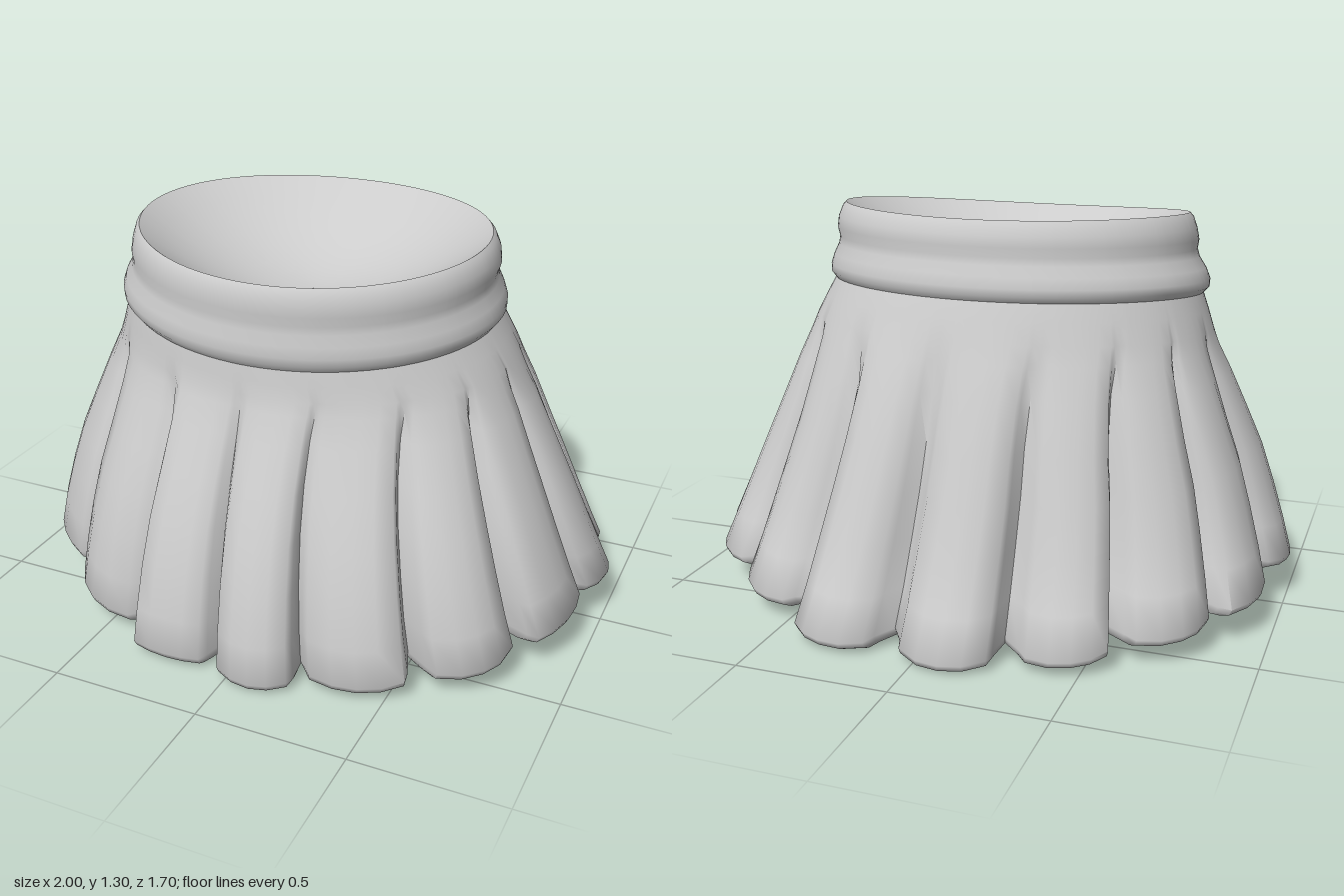
import * as THREE from 'three';
import { toCreasedNormals } from 'three/addons/utils/BufferGeometryUtils.js';

// Pleats at the hem: [start angle, end angle, radius at start, middle, end],
// in degrees from the front towards +x
const PLEATS = [
  [-20.5, -5, 1, 0.985, 0.945], [-2.5, 13.5, 0.945, 1, 0.955], [15.5, 36, 0.91, 0.985, 0.97],
  [40, 59.5, 0.96, 1.01, 0.95], [63, 84, 0.98, 0.985, 0.945], [85.6, 106, 0.945, 1, 0.965],
  [111, 127, 0.97, 1, 0.95], [131, 148, 0.94, 0.985, 0.935], [154, 171, 0.985, 1.03, 0.95],
  [176, 195, 0.93, 1.015, 0.955], [200, 217, 0.945, 1.01, 0.97], [221, 239.5, 0.95, 1.01, 0.965],
  [242.5, 265, 0.985, 1, 0.925], [267.5, 286, 0.935, 1.01, 0.995], [289, 310, 1, 0.985, 0.935],
  [313, 335, 0.935, 0.98, 0.925],
];
const ACROSS = [0, 0.06, 0.28, 0.5, 0.72, 0.94, 1];
const FOLD = -0.15;

// Columns shared by every ring: a curved panel, then the fold behind the next one
const columns = [];
PLEATS.forEach(([start, end, r0, r1, r2], i) => {
  const add = (deg, depth) => columns.push({ t: THREE.MathUtils.degToRad(deg), depth });
  for (const u of ACROSS) {
    const r = r0 * (1 - u) * (1 - 2 * u) + r1 * 4 * u * (1 - u) + r2 * u * (2 * u - 1);
    const corner = u === 0 || u === 1 ? 0.03 : 0;
    add(start + (end - start) * u, r - 1 - corner);
  }
  const next = i + 1 < PLEATS.length ? PLEATS[i + 1][0] : PLEATS[0][0] + 360;
  add((end + next) / 2, FOLD);
});

// An elliptical ring: tilt drops the front, lift raises the sides, pleat is the strength of the folds.
// Folds swing sideways a little as they fade out towards the waist.
function ring([y, tilt, cx, cz, rx, rz, lift = 0, pleat = 0]) {
  return columns.map(({ t, depth }) => {
    const r = 1 + depth * pleat;
    const angle = t + 0.1 * Math.sin(2 * t + 0.52) * (1 - pleat);
    const s = Math.sin(angle), c = Math.cos(angle);
    const fold = -0.2 * Math.min(depth, 0) * pleat;
    return [cx + rx * r * s, y + tilt * c + lift * s * s + fold, cz + rz * r * c];
  });
}

// Skin a list of rings, smooth except at sharp folds
function skin(name, rows, crease) {
  const n = columns.length, index = [];
  for (let i = 0; i < rows.length - 1; i++) {
    for (let j = 0; j < n; j++) {
      const k = (j + 1) % n;
      const a = i * n + j, b = a + n, c = (i + 1) * n + k, d = i * n + k;
      index.push(a, b, c, a, c, d);
    }
  }
  const g = new THREE.BufferGeometry();
  g.setAttribute('position', new THREE.Float32BufferAttribute(rows.map(ring).flat(2), 3));
  g.setIndex(index);
  const material = new THREE.MeshStandardMaterial({ color: 0xcccccc, side: THREE.DoubleSide });
  const mesh = new THREE.Mesh(toCreasedNormals(g, crease), material);
  mesh.name = name;
  return mesh;
}

export function createModel() {
  const group = new THREE.Group();
  group.name = 'pleatedSkirt';

  // Two soft rolls round the waist
  const band = [
    [1.263, -0.036, -0.03, 0.065, 0.588, 0.462, 0.02],
    [1.25, -0.036, -0.03, 0.065, 0.6, 0.472, 0.02],
    [1.215, -0.038, -0.03, 0.062, 0.614, 0.484, 0.018],
    [1.18, -0.04, -0.032, 0.06, 0.62, 0.488, 0.015],
    [1.15, -0.04, -0.034, 0.06, 0.614, 0.484, 0.015],
    [1.125, -0.041, -0.036, 0.058, 0.62, 0.488, 0.015],
    [1.09, -0.043, -0.04, 0.055, 0.64, 0.5, 0.015],
    [1.055, -0.044, -0.042, 0.052, 0.653, 0.506, 0.015],
    [1.03, -0.045, -0.042, 0.05, 0.652, 0.504, 0.015],
    [1.01, -0.045, -0.04, 0.05, 0.635, 0.49, 0.015],
  ];
  group.add(skin('waistband', band, 0.9));

  // Flared panels; folds begin a little below the waistband
  const panels = [
    band[band.length - 1],
    [0.96, -0.04, -0.036, 0.042, 0.66, 0.505, 0.01],
    [0.9, -0.03, -0.03, 0.033, 0.688, 0.522, 0.005, 0.05],
    [0.85, -0.02, -0.028, 0.028, 0.708, 0.542, 0.005, 0.22],
    [0.75, -0.01, -0.026, 0.025, 0.75, 0.584, 0.02, 0.48],
    [0.6, 0, -0.022, 0.03, 0.808, 0.646, 0.04, 0.7],
    [0.45, 0, -0.018, 0.035, 0.866, 0.704, 0.06, 0.82],
    [0.3, 0, -0.01, 0.035, 0.916, 0.758, 0.08, 0.9],
    [0.15, 0, -0.004, 0.022, 0.963, 0.808, 0.1, 0.97],
    [0.03, 0, 0, 0, 1, 0.85, 0.11, 1],
    [0.01, 0, 0, 0, 0.99, 0.84, 0.11, 1],
    [0, 0, 0, 0, 0.96, 0.815, 0.11, 1],
  ];
  group.add(skin('pleats', panels, 1.1));

  // Hollow inside the waist, from its deepest point up to the rim
  const rim = band[0], hollow = [];
  for (let i = 0; i <= 8; i++) {
    const f = Math.max(i / 8, 0.001);
    hollow.push([rim[0] - 0.21 * (1 - f * f), rim[1] * f, rim[2], rim[3], rim[4] * f, rim[5] * f, rim[6] * f]);
  }
  group.add(skin('waistHollow', hollow, 1));

  // Underside rising from the hem to a shallow peak
  const hem = panels[panels.length - 1], under = [];
  for (let i = 0; i <= 6; i++) {
    const f = Math.max(1 - i / 6, 0.001);
    under.push([0.25 * (1 - f), 0, 0.03 * (1 - f), -0.03 * (1 - f), hem[4] * f, hem[5] * f, hem[6] * f, hem[7]]);
  }
  group.add(skin('underside', under, 1));

  return group;
}
